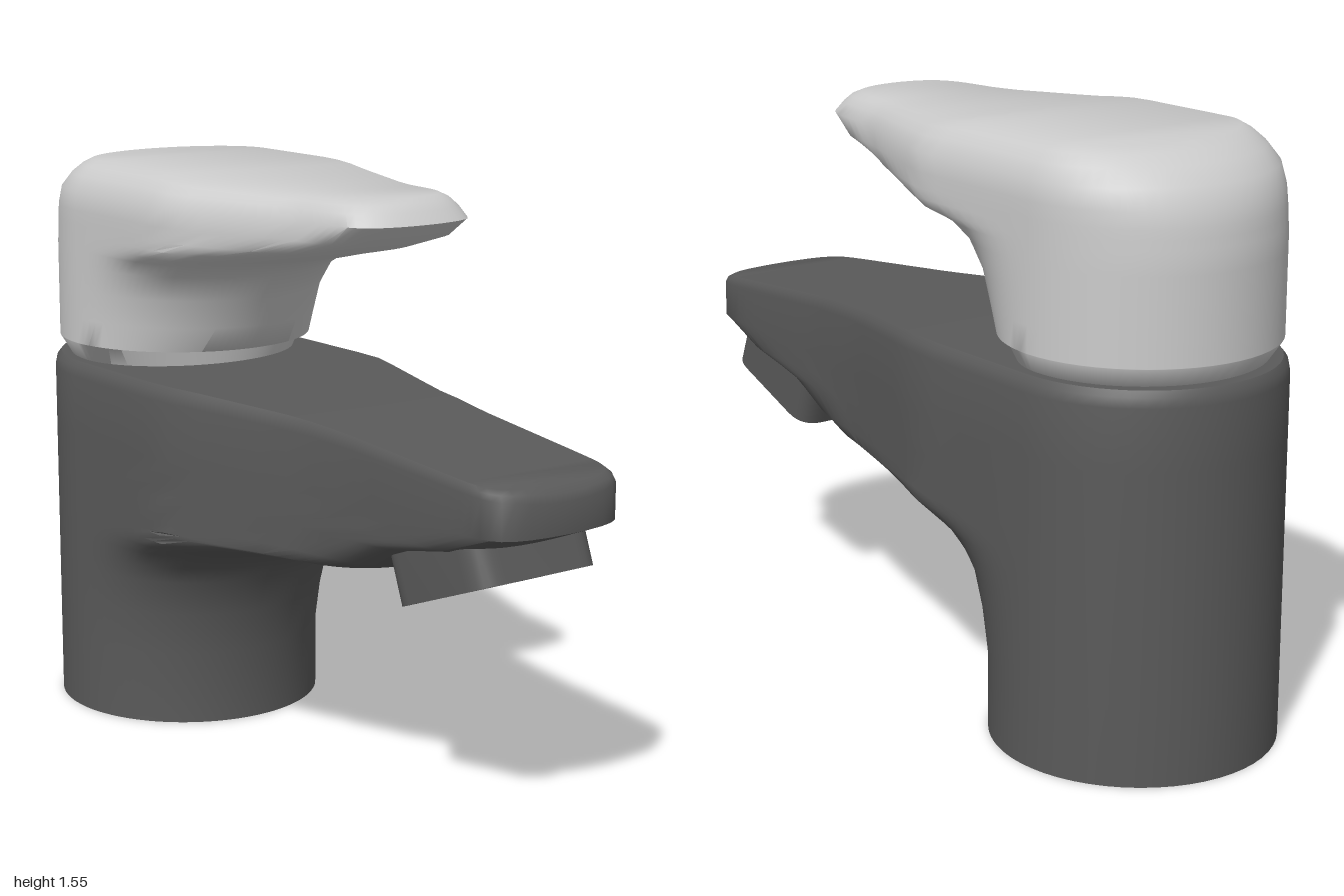
import * as THREE from 'three';
import { toCreasedNormals } from 'three/addons/utils/BufferGeometryUtils.js';

const AXIS_X = -0.63; // centre line of the round column
const BACK = 14, SIDE = 26;

// piecewise linear lookup in [[x, value], ...]
function lookup(table, x) {
  if (x <= table[0][0]) return table[0][1];
  for (let i = 1; i < table.length; i++) {
    const [x0, v0] = table[i - 1], [x1, v1] = table[i];
    if (x <= x1) return v0 + (v1 - v0) * (x - x0) / (x1 - x0);
  }
  return table[table.length - 1][1];
}

// Stack of plan outlines: round at the back, reaching forward to a tip.
// level = [height, tip x, squareness of tip, back radius, side scale]
function loftSpout({ levels, width, top, knee, crease }) {
  const pos = [], index = [];
  const half = BACK + SIDE, n = half * 2;
  const yMax = levels[levels.length - 1][0];
  for (const [h, tip, square, back, side] of levels) {
    for (let i = 0; i < n; i++) {
      const j = i <= half ? i : n - i;
      let x, z;
      if (j < BACK) {
        const a = (j / BACK) * Math.PI / 2;
        x = AXIS_X - back * Math.cos(a);
        z = width[0][1] * side * Math.sin(a);
      } else {
        const t = (j - BACK) / SIDE, u = 1 - (1 - t) ** 2;
        x = AXIS_X + (tip - AXIS_X) * u;
        z = lookup(width, x) * side * Math.sqrt(Math.max(0, 1 - u ** square));
      }
      // above the knee the levels follow the sloping top
      const y = h <= knee ? h : knee + (lookup(top, x) - knee) * (h - knee) / (yMax - knee);
      const shift = -0.013 * THREE.MathUtils.clamp((x + 0.2) / 0.5, 0, 1);
      pos.push(x, y, (i <= half ? z : -z) + shift);
    }
  }
  for (let r = 0; r < levels.length - 1; r++) {
    for (let i = 0; i < n; i++) {
      const a = r * n + i, b = r * n + (i + 1) % n;
      index.push(a, b, b + n, a, b + n, a + n);
    }
  }
  // caps, in strips across the width
  const up = (levels.length - 1) * n;
  for (let i = 0; i < half; i++) {
    const p = i, q = i + 1, r = n - i - 1, s = (n - i) % n;
    if (q !== r) index.push(up + p, up + q, up + r, p, r, q);
    if (p !== s) index.push(up + p, up + r, up + s, p, s, r);
  }
  const g = new THREE.BufferGeometry();
  g.setAttribute('position', new THREE.Float32BufferAttribute(pos, 3));
  g.setIndex(index);
  return toCreasedNormals(g, crease);
}

function roundedRect(w, h, r) {
  const s = new THREE.Shape(), x = w / 2, y = h / 2;
  s.moveTo(-x + r, -y);
  s.lineTo(x - r, -y).quadraticCurveTo(x, -y, x, -y + r);
  s.lineTo(x, y - r).quadraticCurveTo(x, y, x - r, y);
  s.lineTo(-x + r, y).quadraticCurveTo(-x, y, -x, y - r);
  s.lineTo(-x, -y + r).quadraticCurveTo(-x, -y, -x + r, -y);
  return s;
}

export function createModel() {
  const model = new THREE.Group();
  const add = (parent, name, geometry, material) => {
    const mesh = new THREE.Mesh(geometry, material);
    mesh.name = name;
    parent.add(mesh);
    return mesh;
  };
  const light = new THREE.MeshStandardMaterial({ color: 0xcccccc });
  const dark = new THREE.MeshStandardMaterial({ color: 0x5a5a5a });
  const black = new THREE.MeshStandardMaterial({ color: 0x050505 });

  // column and spout in one body
  add(model, 'body', loftSpout({
    knee: 0.8,
    crease: 0.8,
    width: [[-0.63, 0.37], [-0.2, 0.37], [0.2, 0.265], [0.4, 0.235], [0.95, 0.205]],
    top: [[-0.15, 1], [0.3, 0.975], [0.98, 0.915], [1, 0.9]],
    levels: [
      [0, -0.26, 2, 0.37, 1],
      [0.2, -0.26, 2, 0.37, 1],
      [0.32, -0.23, 2.1, 0.37, 1],
      [0.42, -0.2, 2.4, 0.37, 1],
      [0.47, -0.16, 2.8, 0.37, 1],
      [0.515, -0.1, 3.5, 0.37, 1],
      [0.545, 0, 4.5, 0.37, 1],
      [0.57, 0.12, 6, 0.37, 1],
      [0.595, 0.29, 9, 0.37, 1],
      [0.605, 0.45, 13, 0.37, 1],
      [0.635, 0.54, 18, 0.37, 1],
      [0.7, 0.66, 25, 0.37, 1],
      [0.74, 0.85, 40, 0.37, 1],
      [0.8, 1, 60, 0.37, 1],
      [0.96, 1, 60, 0.37, 1],
      [0.985, 0.99, 60, 0.366, 0.985],
      [1, 0.97, 60, 0.355, 0.95],
    ],
  }), dark);

  // lever with its domed cap
  add(model, 'leverHandle', loftSpout({
    knee: 1.47,
    crease: 1.1,
    width: [[-0.63, 0.355], [-0.2, 0.355], [0, 0.285], [0.17, 0.225], [0.4, 0.195]],
    top: [[-0.3, 1.55], [-0.15, 1.537], [0.1, 1.528], [0.4, 1.53]],
    levels: [
      [0.995, -0.37, 2, 0.315, 0.91],
      [1.05, -0.36, 2, 0.355, 1],
      [1.051, -0.285, 2, 0.355, 1],
      [1.12, -0.245, 2, 0.355, 1],
      [1.2, -0.215, 2.2, 0.355, 1],
      [1.27, -0.165, 2.7, 0.355, 1],
      [1.31, -0.09, 3.5, 0.355, 1],
      [1.33, 0.02, 5, 0.352, 1],
      [1.355, 0.13, 8, 0.35, 1],
      [1.38, 0.25, 13, 0.346, 1],
      [1.42, 0.38, 24, 0.338, 1],
      [1.47, 0.45, 32, 0.31, 0.99],
      [1.51, 0.425, 30, 0.265, 0.92],
      [1.535, 0.405, 28, 0.22, 0.85],
      [1.55, 0.38, 25, 0.18, 0.78],
    ],
  }), light);

  // tilted outlet under the spout
  const outlet = new THREE.Group();
  outlet.name = 'outlet';
  outlet.position.set(0.743, 0.612, -0.01);
  outlet.rotation.z = 0.37;
  model.add(outlet);
  const rim = roundedRect(0.37, 0.38, 0.07);
  rim.holes.push(roundedRect(0.325, 0.345, 0.06));
  const shell = new THREE.ExtrudeGeometry(rim, { depth: 0.13, bevelEnabled: false, curveSegments: 6 });
  shell.rotateX(-Math.PI / 2);
  add(outlet, 'outletRim', toCreasedNormals(shell, 0.7), dark);
  const opening = new THREE.ShapeGeometry(roundedRect(0.33, 0.35, 0.06), 6);
  opening.rotateX(Math.PI / 2);
  add(outlet, 'outletOpening', opening, black).position.y = 0.004;

  return model;
}
